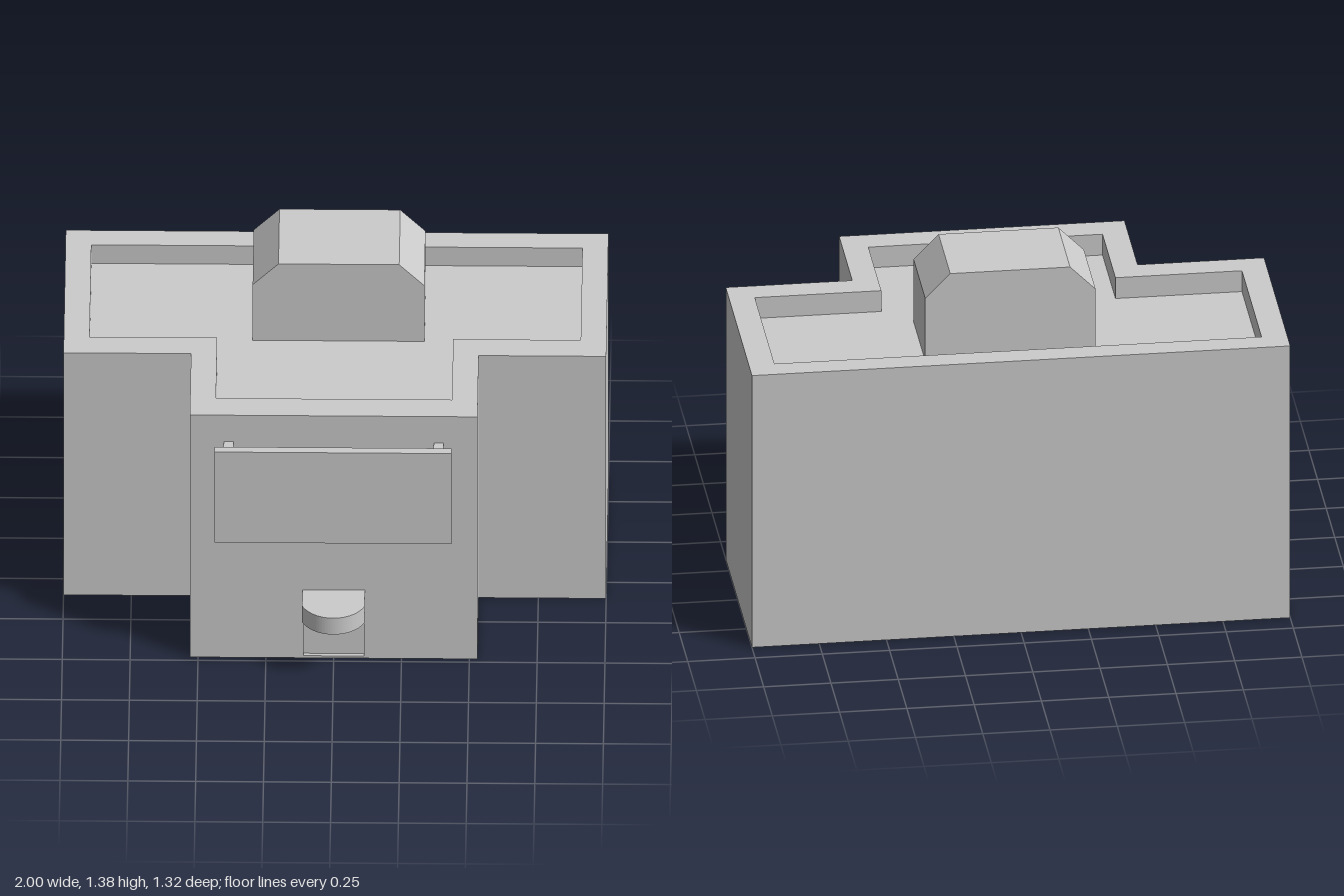
import * as THREE from 'three';

const material = new THREE.MeshStandardMaterial({ color: 0xcccccc });

function add(parent, name, geometry, x = 0, y = 0, z = 0) {
  const mesh = new THREE.Mesh(geometry, material);
  mesh.name = name;
  mesh.position.set(x, y, z);
  parent.add(mesh);
  return mesh;
}

const box = (w, h, d) => new THREE.BoxGeometry(w, h, d);
const polygon = (points) => points.map(([x, y]) => new THREE.Vector2(x, y));

// T-shaped footprint: wide wing at the back, narrower stem towards the front
const footprint = (wing, stem, back, shoulder, front) => polygon([
  [-wing, back], [wing, back], [wing, shoulder], [stem, shoulder],
  [stem, front], [-stem, front], [-stem, shoulder], [-wing, shoulder],
]);

const extrude = (shape, depth, curveSegments = 12) =>
  new THREE.ExtrudeGeometry(shape, { depth, bevelEnabled: false, curveSegments });

// Extrudes a plan drawn in (x, z) upwards from y = 0
function extrudeUp(shape, height, curveSegments) {
  return extrude(shape, height, curveSegments).rotateX(Math.PI / 2).translate(0, height, 0);
}

export function createModel() {
  const building = new THREE.Group();
  building.name = 'building';

  const height = 1.11, roofY = 1.025, front = 0.48, facadeDepth = 0.015;
  const outline = footprint(1, 0.53, -0.66, 0.1, front - facadeDepth);

  // Main block up to the sunken roof
  add(building, 'mainBlock', extrudeUp(new THREE.Shape(outline), roofY));

  // Parapet around the roof
  const parapet = new THREE.Shape(outline);
  parapet.holes.push(new THREE.Path(footprint(0.905, 0.435, -0.57, 0, 0.375)));
  add(building, 'parapet', extrudeUp(parapet, height - roofY), 0, roofY);

  // Front facade with a shallow doorway recess
  const facade = new THREE.Shape(polygon([[-0.53, 0], [0.53, 0], [0.53, height], [-0.53, height]]));
  facade.holes.push(new THREE.Path(polygon([[-0.112, 0.01], [-0.112, 0.212], [0.112, 0.212], [0.112, 0.01]])));
  add(building, 'frontFacade', extrude(facade, facadeDepth), 0, 0, front - facadeDepth);

  // Rooftop housing with chamfered upper edges
  const housing = new THREE.Shape(polygon([
    [-0.305, roofY], [0.328, roofY], [0.328, 1.28], [0.235, 1.376], [-0.21, 1.376], [-0.305, 1.28],
  ]));
  add(building, 'rooftopHousing', extrude(housing, 0.34), 0, 0, -0.44);

  // Rounded canopy above the door
  const half = 0.115, straight = 0.1, sag = 0.075;
  const radius = (half * half + sag * sag) / (2 * sag);
  const angle = Math.asin(half / radius);
  const canopy = new THREE.Shape();
  canopy.moveTo(-half, 0);
  canopy.lineTo(half, 0);
  canopy.lineTo(half, straight);
  canopy.absarc(0, straight + sag - radius, radius, Math.PI / 2 - angle, Math.PI / 2 + angle, false);
  canopy.lineTo(-half, 0);
  add(building, 'doorCanopy', extrudeUp(canopy, 0.075, 24), 0, 0.237, front);

  // Wall sign held off the facade by four brackets
  const sign = new THREE.Group();
  sign.name = 'wallSign';
  building.add(sign);
  add(sign, 'signPanel', box(0.874, 0.415, 0.032), -0.002, 0.803, 0.558);
  for (const x of [-0.387, 0.387]) {
    for (const y of [0.633, 0.972]) {
      add(sign, 'signBracket', box(0.036, 0.034, 0.062), x, y, front + 0.031);
    }
  }

  return building;
}
